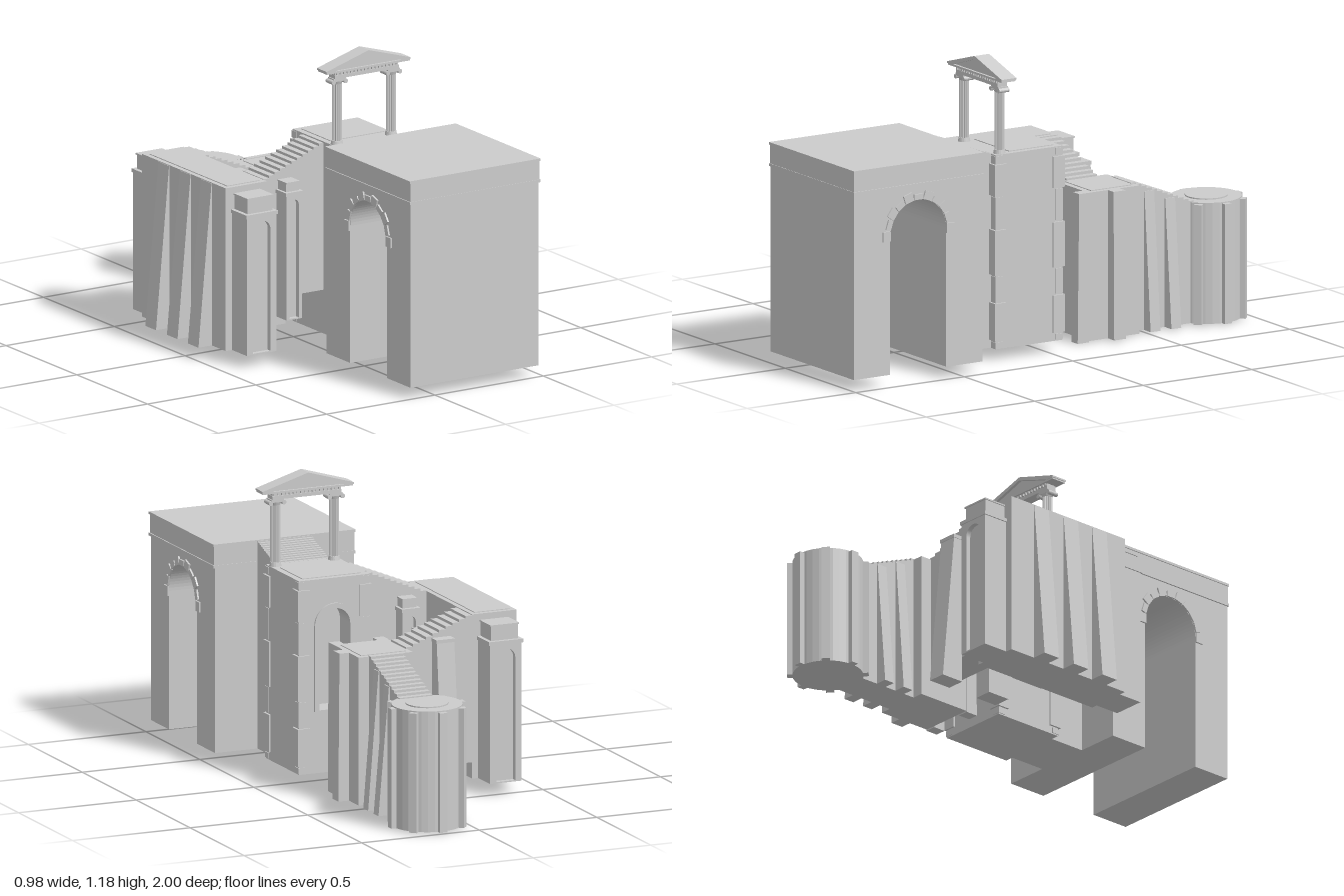
import * as THREE from 'three';

const mat = new THREE.MeshStandardMaterial({ color: 0xcccccc, flatShading: true, side: THREE.DoubleSide });

export function createModel() {
  const model = new THREE.Group();

  function add(name, geo, x = 0, y = 0, z = 0, angle = 0) {
    const m = new THREE.Mesh(geo, mat);
    m.name = name;
    m.position.set(x, y, z);
    m.rotation.y = angle;
    model.add(m);
    return m;
  }
  const box = (name, x0, x1, y0, y1, z0, z1) =>
    add(name, new THREE.BoxGeometry(x1 - x0, y1 - y0, z1 - z0), (x0 + x1) / 2, (y0 + y1) / 2, (z0 + z1) / 2);

  // Headings: local +x of a prism turned towards each side
  const EAST = 0, BACK = Math.PI / 2, WEST = Math.PI, FRONT = -Math.PI / 2;

  // Side profile (distance, height) extruded to a width, centred on its path
  const extrude = (shape, width) =>
    new THREE.ExtrudeGeometry(shape, { depth: width, bevelEnabled: false, curveSegments: 16 }).translate(0, 0, -width / 2);
  const prism = (name, pts, width, x, z, heading) =>
    add(name, extrude(new THREE.Shape(pts.map(p => new THREE.Vector2(...p))), width), x, 0, z, heading);

  const buttress = (name, x, z, heading, width, y0, y1, foot, head) =>
    prism(name, [[0, y0], [foot, y0], [head, y1], [0, y1]], width, x, z, heading);

  function stairs(name, x, z, heading, length, width, yStart, yEnd, base, n) {
    const pts = [[0, base]];
    for (let i = 0; i < n; i++) {
      const y = yStart + (yEnd - yStart) * (i + 0.5) / n;
      pts.push([length * i / n, y], [length * (i + 1) / n, y]);
    }
    pts.push([length, base]);
    prism(name, pts, width, x, z, heading);
  }

  function archPath(Type, w, y0, top) {
    const p = new Type(), r = w / 2;
    p.moveTo(-r, y0);
    p.lineTo(r, y0);
    p.lineTo(r, top - r);
    p.absarc(0, top - r, r, 0, Math.PI, false);
    p.lineTo(-r, y0);
    return p;
  }
  // Wall slab with an arched opening, centred at (x, z), facing z
  function archPlate(name, w, y0, y1, openW, openY, openTop, depth, x, z) {
    const s = new THREE.Shape([[-w / 2, y0], [w / 2, y0], [w / 2, y1], [-w / 2, y1]].map(p => new THREE.Vector2(...p)));
    s.holes.push(archPath(THREE.Path, openW, openY, openTop));
    add(name, extrude(s, depth), x, 0, z);
  }
  function archRing(name, w, band, y0, top, depth, x, z) {
    const s = archPath(THREE.Shape, w + band * 2, y0 - 0.005, top + band);
    s.holes.push(archPath(THREE.Path, w, y0, top));
    add(name, extrude(s, depth), x, 0, z);
  }

  // Great gate with an arched passage running across
  const gate = new THREE.Shape();
  gate.moveTo(0.403, 0.05);
  gate.lineTo(0.57, 0.05);
  gate.lineTo(0.57, 0.6);
  gate.absarc(0.7, 0.6, 0.13, Math.PI, 0, true);
  gate.lineTo(0.83, 0.05);
  gate.lineTo(0.996, 0.05);
  gate.lineTo(0.996, 0.87);
  gate.lineTo(0.403, 0.87);
  add('gateBody', extrude(gate, 0.59), 0.185, 0, 0, FRONT);
  box('gateParapet', -0.112, 0.484, 0.795, 0.872, 0.402, 0.998);
  box('gateLowerMoulding', -0.116, 0.488, 0.785, 0.796, 0.4, 1);
  box('gateCoping', -0.116, 0.488, 0.87, 0.88, 0.4, 1);
  // Arch stones, alternately long and short
  for (const x of [-0.111, 0.481]) {
    for (let i = 0; i < 11; i++) {
      const a = Math.PI * i / 10, h = i % 2 ? 0.022 : 0.034, r = 0.13 + h / 2;
      const stone = add('archStone', new THREE.BoxGeometry(0.012, h, 0.04),
        x, 0.6 + r * Math.sin(a), 0.7 + r * Math.cos(a));
      stone.rotation.x = Math.PI / 2 - a;
    }
  }

  // Stepped bridge from the gate down to the square tower
  stairs('bridgeSteps', 0.185, 0.41, BACK, 0.17, 0.23, 0.878, 0.818, 0.05, 12);

  // Square tower with an arched recess at the back
  box('towerBody', 0.035, 0.335, 0.05, 0.82, 0.03, 0.248);
  archPlate('towerBackWall', 0.3, 0.05, 0.82, 0.13, 0.3, 0.7, 0.09, 0.185, -0.014);
  archRing('towerArchMoulding', 0.13, 0.02, 0.3, 0.7, 0.01, 0.185, -0.061);
  box('towerPaving', 0.06, 0.31, 0.82, 0.823, -0.035, 0.17);
  const courses = [0.052, 0.08, 0.235, 0.34, 0.525, 0.655, 0.785, 0.818];
  for (const [cx, dx] of [[0.035, 1], [0.335, -1]]) for (const [cz, dz] of [[-0.058, 1], [0.248, -1]]) {
    for (let i = 0; i < courses.length - 1; i++) {
      const long = i % 2, out = long ? 0.008 : 0.003, len = long ? 0.045 : 0.03;
      const xs = [cx - dx * out, cx + dx * len], zs = [cz - dz * out, cz + dz * len];
      box('towerQuoin', Math.min(...xs), Math.max(...xs), courses[i] + 0.003, courses[i + 1] - 0.003, Math.min(...zs), Math.max(...zs));
    }
  }

  // Portico: two fluted columns carrying a pediment
  const pz = 0.215, px = 0.185;
  for (const x of [0.06, 0.31]) {
    const flutes = new THREE.Shape();
    for (let i = 0; i < 32; i++) {
      const a = i * Math.PI / 16, r = i % 2 ? 0.0165 : 0.0195;
      flutes[i ? 'lineTo' : 'moveTo'](r * Math.cos(a), r * Math.sin(a));
    }
    const shaft = new THREE.ExtrudeGeometry(flutes, { depth: 0.23, bevelEnabled: false }).rotateX(-Math.PI / 2);
    add('columnShaft', shaft, x, 0.835, pz);
    add('columnBase', new THREE.CylinderGeometry(0.021, 0.024, 0.016, 20), x, 0.828, pz);
    add('columnNeck', new THREE.CylinderGeometry(0.023, 0.019, 0.012, 20), x, 1.07, pz);
    box('capital', x - 0.027, x + 0.027, 1.076, 1.088, pz - 0.022, pz + 0.022);
    for (const s of [-1, 1])
      add('volute', new THREE.CylinderGeometry(0.009, 0.009, 0.046, 14).rotateX(Math.PI / 2), x + s * 0.028, 1.074, pz);
  }
  box('entablature', 0.038, 0.332, 1.088, 1.102, pz - 0.022, pz + 0.022);
  box('frieze', 0.04, 0.33, 1.1, 1.116, pz - 0.019, pz + 0.019);
  for (let i = 0; i < 18; i++) {
    const x = 0.047 + i * 0.0162;
    box('dentil', x - 0.004, x + 0.004, 1.104, 1.115, pz - 0.026, pz + 0.026);
  }
  box('pedimentCornice', -0.006, 0.376, 1.114, 1.122, pz - 0.032, pz + 0.032);
  prism('tympanum', [[-0.17, 1.12], [0.17, 1.12], [0, 1.175]], 0.045, px, pz, EAST);
  for (const s of [-1, 1])
    prism('rakingCornice', [[0, 1.172], [0, 1.185], [s * 0.194, 1.127], [s * 0.194, 1.12], [s * 0.16, 1.12]], 0.068, px, pz, EAST);

  // Long west wall with leaning buttresses
  box('westWall', -0.43, -0.24, 0.055, 0.708, -0.41, 0.18);
  box('westWallPaving', -0.41, -0.26, 0.708, 0.711, -0.39, 0.16);
  for (const z of [-0.255, -0.103, 0.045]) buttress('westButtress', -0.43, z, WEST, 0.075, 0.055, 0.705, 0.062, 0.002);

  // Pillar with an arched niche on its outer face, capped by a small block
  function pillar(name, x, zWall, dir, w, depth, y0, yCap, yTop) {
    const zs = (a, b) => [zWall + dir * a, zWall + dir * b].sort((p, q) => p - q);
    box(name + 'Core', x - w / 2, x + w / 2, y0, yCap, ...zs(-0.005, depth - 0.02));
    archPlate(name + 'Niche', w, y0, yCap, w * 0.6, y0 + 0.005, yCap - 0.02, 0.02, x, zWall + dir * (depth - 0.01));
    box(name + 'Cap', x - w / 2 - 0.005, x + w / 2 + 0.005, yCap - 0.002, yCap + 0.012, ...zs(0, depth + 0.004));
    box(name + 'Block', x - w * 0.42, x + w * 0.42, yCap + 0.012, yTop - 0.006, ...zs(0, depth - 0.012));
    box(name + 'Top', x - w * 0.45, x + w * 0.45, yTop - 0.006, yTop, ...zs(0, depth - 0.008));
  }
  pillar('frontCornerPillar', -0.333, 0.18, 1, 0.135, 0.106, 0.055, 0.608, 0.683);
  pillar('backCornerPillar', -0.333, -0.41, -1, 0.135, 0.11, 0.055, 0.608, 0.683);

  // Stairs from the west wall up to the tower, flanked by slim pillars
  stairs('towerSteps', -0.24, 0.085, EAST, 0.28, 0.145, 0.705, 0.82, 0.225, 11);
  pillar('frontStairPillar', -0.145, 0.158, 1, 0.07, 0.07, 0.15, 0.65, 0.7);
  pillar('backStairPillar', -0.145, 0.012, -1, 0.07, 0.062, 0.15, 0.65, 0.7);

  // Stairs from the west wall down to the lower platform
  stairs('wingSteps', -0.24, -0.34, EAST, 0.28, 0.14, 0.71, 0.6, 0.12, 10);
  for (const [z, heading] of [[-0.41, BACK], [-0.27, FRONT]]) {
    buttress('wingButtress', -0.108, z, heading, 0.075, 0.015, 0.62, 0.1, 0.042);
    const c = z + (heading === BACK ? -0.02 : 0.02);
    box('wingButtressCap', -0.148, -0.068, 0.618, 0.632, c - 0.025, c + 0.025);
  }

  // Lower platform
  box('platform', 0.035, 0.265, 0.01, 0.598, -0.46, -0.227);
  box('platformPaving', 0.055, 0.245, 0.598, 0.601, -0.44, -0.25);
  for (const x of [0.055, 0.243]) buttress('platformFrontButtress', x, -0.227, FRONT, 0.045, 0.005, 0.598, 0.052, 0.045);
  buttress('platformSideButtress', 0.265, -0.342, EAST, 0.055, 0.01, 0.598, 0.045, 0.04);

  // Descending neck with leaning buttresses on both sides
  stairs('neckSteps', 0.15, -0.45, BACK, 0.29, 0.14, 0.605, 0.49, 0.01, 12);
  for (const [z, top] of [[-0.532, 0.56], [-0.628, 0.52]]) {
    buttress('neckButtress', 0.22, z, EAST, 0.045, 0.01, top, 0.048, 0.004);
    buttress('neckButtress', 0.08, z, WEST, 0.045, 0.01, top, 0.048, 0.004);
  }

  // Round tower with eight ribs
  const tx = 0.15, tz = -0.842;
  add('roundTower', new THREE.CylinderGeometry(0.138, 0.138, 0.48, 32), tx, 0.25, tz);
  add('roundTowerDisc', new THREE.CylinderGeometry(0.083, 0.083, 0.006, 32), tx, 0.492, tz);
  for (let i = 0; i < 8; i++)
    prism('roundTowerRib', [[0.1, 0.01], [0.158, 0.01], [0.158, 0.485], [0.1, 0.485]], 0.032, tx, tz, i * Math.PI / 4);

  return model;
}
